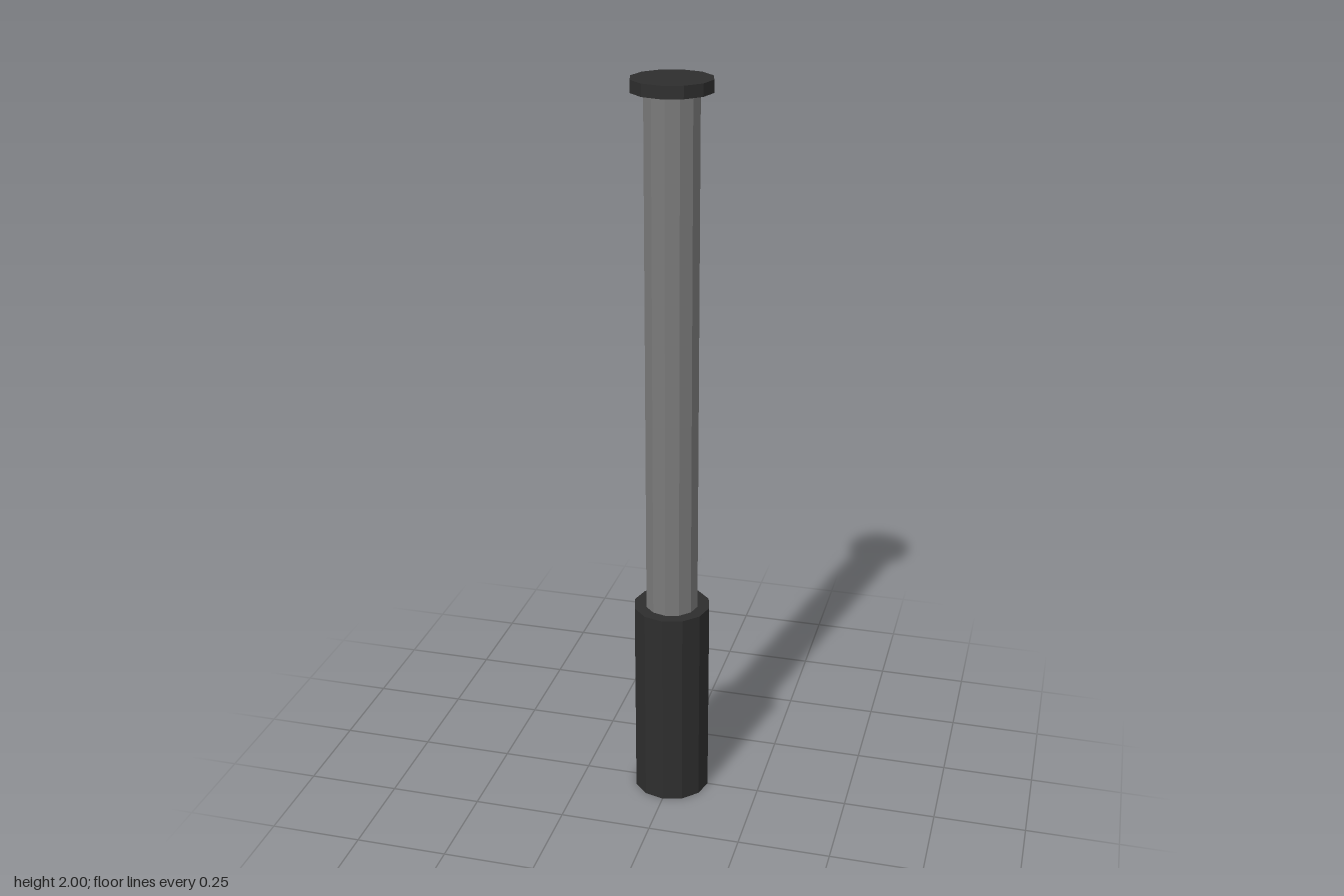
import * as THREE from 'three';

export function createModel() {
  const model = new THREE.Group();
  const darkGrip = new THREE.MeshStandardMaterial({ color: 0x2e2e2e, flatShading: true });
  darkGrip.name = 'dark grip';
  const greyMetal = new THREE.MeshStandardMaterial({ color: 0x7a7a7a, flatShading: true });
  greyMetal.name = 'grey metal';

  // Upright twelve-sided cylinder spanning two heights
  function post(name, radius, bottom, top, material) {
    const mesh = new THREE.Mesh(new THREE.CylinderGeometry(radius, radius, top - bottom, 12), material);
    mesh.name = name;
    mesh.position.y = (bottom + top) / 2;
    model.add(mesh);
  }

  post('grip', 0.105, 0, 0.567, darkGrip);
  post('shaft', 0.072, 0.567, 1.968, greyMetal);
  post('endCap', 0.105, 1.968, 2, darkGrip);

  return model;
}
